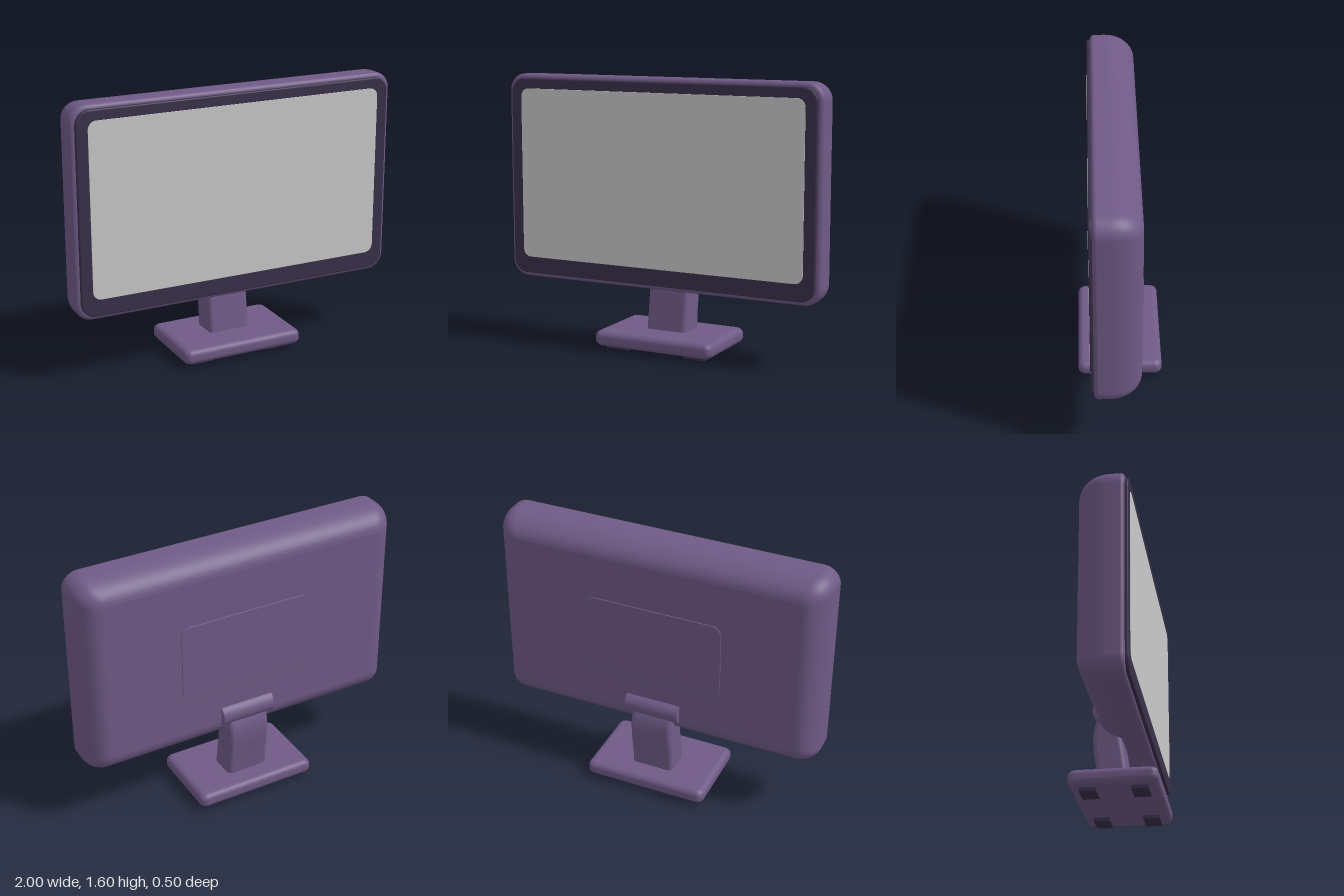
import * as THREE from 'three';

const mat = (name, color) => {
  const m = new THREE.MeshStandardMaterial({ color });
  m.name = name;
  return m;
};

// Outline of a rounded rectangle, counter-clockwise
function outline(hw, hh, r, cy = 0, steps = 10) {
  const pts = [];
  for (let q = 0; q < 4; q++) {
    const sx = q === 0 || q === 3 ? 1 : -1, sy = q < 2 ? 1 : -1;
    for (let i = 0; i <= steps; i++) {
      const a = (q + i / steps) * Math.PI / 2;
      pts.push([sx * (hw - r) + r * Math.cos(a), cy + sy * (hh - r) + r * Math.sin(a)]);
    }
  }
  return pts;
}

// Smooth skin through rounded rectangles [z, halfWidth, halfHeight, radius, centreY], with flat caps
function loft(rings) {
  const pos = [], idx = [];
  const loops = rings.map(([z, hw, hh, r, cy]) => outline(hw, hh, r, cy).map(([x, y]) => [x, y, z]));
  const n = loops[0].length;
  loops.forEach(l => l.forEach(p => pos.push(...p)));
  for (let k = 0; k < loops.length - 1; k++) {
    for (let i = 0; i < n; i++) {
      const j = (i + 1) % n, a = k * n, b = a + n;
      idx.push(a + i, a + j, b + j, a + i, b + j, b + i);
    }
  }
  [[0, -1], [loops.length - 1, 1]].forEach(([k, dir]) => {
    const c = pos.length / 3, [z, , , , cy = 0] = rings[k];
    pos.push(0, cy, z);
    loops[k].forEach(p => pos.push(...p));
    for (let i = 0; i < n; i++) {
      const a = c + 1 + i, b = c + 1 + (i + 1) % n;
      if (dir > 0) idx.push(c, a, b); else idx.push(c, b, a);
    }
  });
  const g = new THREE.BufferGeometry();
  g.setAttribute('position', new THREE.Float32BufferAttribute(pos, 3));
  g.setIndex(idx);
  g.computeVertexNormals();
  return g;
}

// Rounded slab: elliptical edge at the low side (inset a, depth b) and at the high side (c, d)
function slab(z0, z1, hw, hh, r, a, b, c, d, keep = 0.6, steps = 10) {
  const rings = [];
  const add = (z, inset) => rings.push([z, hw - inset, hh - inset, Math.max(r - keep * inset, 0.005)]);
  for (let i = 0; i <= steps; i++) {
    const t = i / steps * Math.PI / 2;
    add(z0 + b * (1 - Math.cos(t)), a * (1 - Math.sin(t)));
  }
  for (let i = 0; i <= steps; i++) {
    const t = i / steps * Math.PI / 2;
    add(z1 - d * (1 - Math.sin(t)), c * (1 - Math.cos(t)));
  }
  return loft(rings);
}

export function createModel() {
  const model = new THREE.Group();
  model.name = 'monitor';
  const purple = mat('purple plastic', 0x6f5a86);
  const dark = mat('dark plastic', 0x3a3049);
  const grey = mat('screen grey', 0xcacaca);
  const add = (name, geo, material, x = 0, y = 0, z = 0) => {
    const m = new THREE.Mesh(geo, material);
    m.name = name;
    m.position.set(x, y, z);
    model.add(m);
    return m;
  };

  // Display: deep shell with a softly rounded back, dark bezel and thin screen
  const midY = 0.987;
  add('housing', slab(-0.108, 0.155, 1, 0.613, 0.1, 0.125, 0.17, 0.025, 0.025), purple, 0, midY);
  add('bezel', slab(0.14, 0.174, 0.972, 0.588, 0.085, 0.003, 0.003, 0.008, 0.008, 1, 4), dark, 0, midY);
  add('screen', slab(0.17, 0.176, 0.904, 0.508, 0.05, 0.001, 0.001, 0.001, 0.001, 1, 2), grey, 0, 1.007);
  add('backPanel', slab(-0.113, -0.104, 0.418, 0.24, 0.06, 0.002, 0.002, 0.001, 0.001, 1, 2), purple, 0, 0.97);

  // Hinge barrel across the lower back, with softened ends
  const barrel = [[0, -0.17], [0.064, -0.17], [0.07, -0.164], [0.07, 0.164], [0.064, 0.17], [0, 0.17]]
    .map(p => new THREE.Vector2(...p));
  add('hinge', new THREE.LatheGeometry(barrel, 32).rotateZ(Math.PI / 2), purple, 0, 0.537, -0.075);

  // Curved neck: height, front z, back z
  const neck = [
    [0.1, 0.056, -0.123], [0.2, 0.042, -0.129], [0.3, 0.028, -0.144], [0.36, 0.019, -0.149],
    [0.42, 0.008, -0.148], [0.47, -0.006, -0.138], [0.52, -0.03, -0.115],
  ].map(([y, f, b]) => [y, 0.13, (f - b) / 2, 0.028, -(f + b) / 2]);
  add('neck', loft(neck).rotateX(-Math.PI / 2), purple);

  // Base plate and its four feet
  add('base', slab(0.02, 0.11, 0.378, 0.248, 0.04, 0.035, 0.035, 0.035, 0.035, 0.6, 8).rotateX(-Math.PI / 2), purple);
  for (const x of [-0.25, 0.25]) {
    for (const z of [-0.143, 0.143]) {
      add('foot', new THREE.BoxGeometry(0.14, 0.025, 0.094), dark, x, 0.0125, z);
    }
  }
  return model;
}
